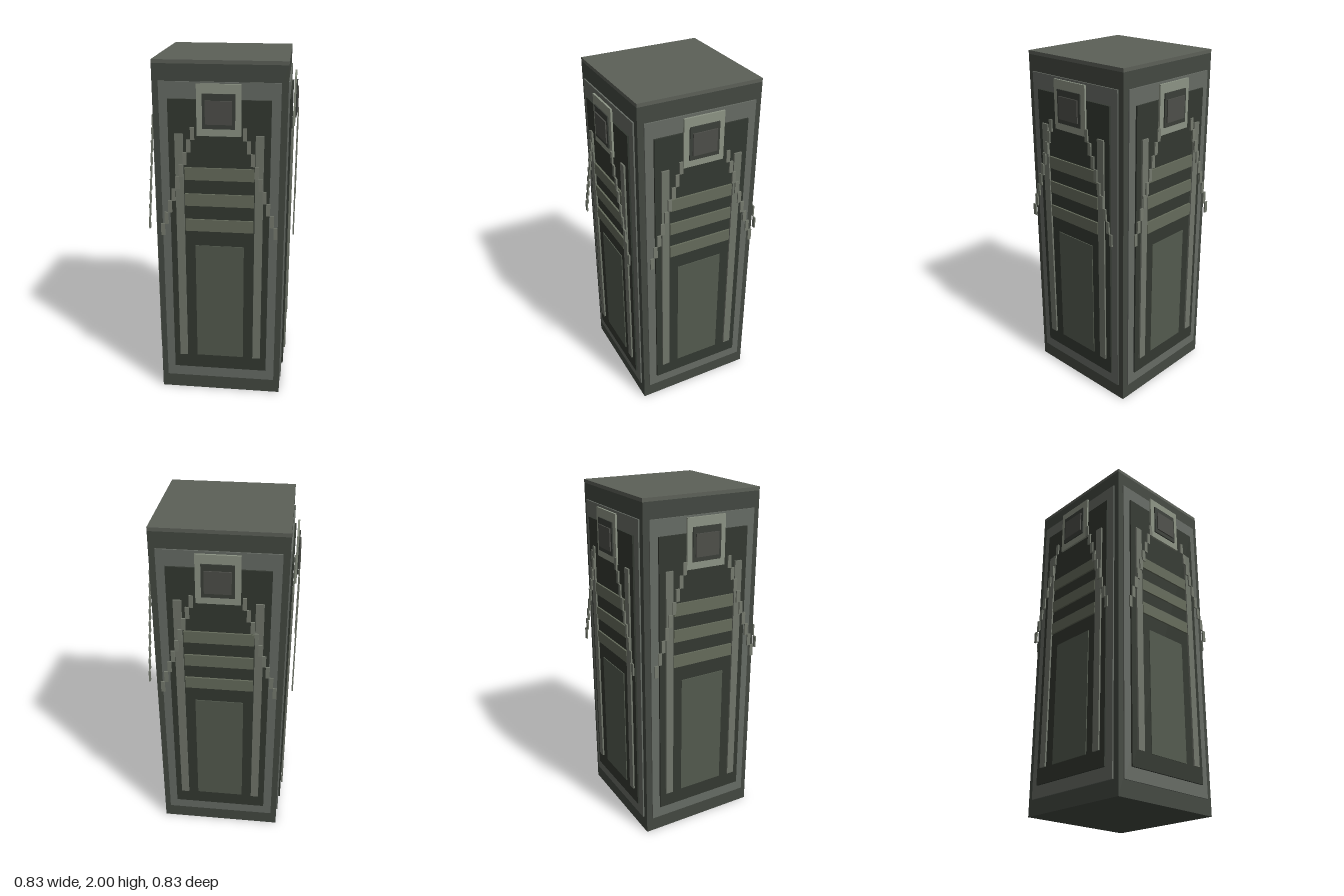
import * as THREE from 'three';

const mat = (color) => new THREE.MeshStandardMaterial({ color });
const COLORS = {
  body: mat(0x434841), cap: mat(0x5c6058), frame: mat(0x666b64), recess: mat(0x333831),
  door: mat(0x535a4e), strip: mat(0x70756a), bar: mat(0x656b5b), medallion: mat(0x8c9384),
  medallionInset: mat(0x3b3f39), medallionCore: mat(0x4d4e49), step: mat(0x757a6e),
};

// Box given by its limits on each axis
function slab(parent, name, material, [x0, x1], [y0, y1], [z0, z1]) {
  const mesh = new THREE.Mesh(new THREE.BoxGeometry(x1 - x0, y1 - y0, z1 - z0), material);
  mesh.position.set((x0 + x1) / 2, (y0 + y1) / 2, (z0 + z1) / 2);
  mesh.name = name;
  parent.add(mesh);
}

// One decorated side, facing +z
function createFacade() {
  const g = new THREE.Group();
  const centred = (name, material, half, y, z) => slab(g, name, material, [-half, half], y, z);

  // Layered panels
  centred('framePanel', COLORS.frame, 0.323, [0.09, 1.89], [0.355, 0.366]);
  centred('recessPanel', COLORS.recess, 0.275, [0.16, 1.8], [0.365, 0.376]);
  centred('doorPanel', COLORS.door, 0.137, [0.25, 0.97], [0.372, 0.381]);

  // Horizontal bars
  for (const y of [1.06, 1.21, 1.36]) {
    centred('crossBar', COLORS.bar, 0.19, [y, y + 0.07], [0.376, 0.386]);
  }

  // Square medallion in three layers
  centred('medallionFrame', COLORS.medallion, 0.118, [1.61, 1.885], [0.384, 0.395]);
  centred('medallionInset', COLORS.medallionInset, 0.087, [1.65, 1.835], [0.392, 0.402]);
  centred('medallionCore', COLORS.medallionCore, 0.071, [1.675, 1.8], [0.4, 0.409]);

  // Mirrored uprights and descending steps
  for (const side of [-1, 1]) {
    const span = (a, b) => (side > 0 ? [a, b] : [-b, -a]);
    slab(g, 'upright', COLORS.strip, span(0.195, 0.24), [0.25, 1.615], [0.377, 0.387]);
    for (let i = 0; i < 9; i++) {
      const x = 0.129 + i * 0.0217;
      const top = 1.66 - i * 0.069;
      slab(g, 'step', COLORS.step, span(x, x + 0.0217), [top - 0.069, top], [0.405, 0.413]);
    }
  }
  return g;
}

export function createModel() {
  const model = new THREE.Group();
  model.name = 'tower';

  // Core block and thin roof slab
  const h = 0.358;
  slab(model, 'body', COLORS.body, [-h, h], [0, 1.98], [-h, h]);
  slab(model, 'roof', COLORS.cap, [-h, h], [1.98, 2], [-h, h]);

  // The same facade on all four sides
  ['frontFacade', 'leftFacade', 'backFacade', 'rightFacade'].forEach((name, i) => {
    const facade = createFacade();
    facade.name = name;
    facade.rotation.y = (i * Math.PI) / 2;
    model.add(facade);
  });
  return model;
}
